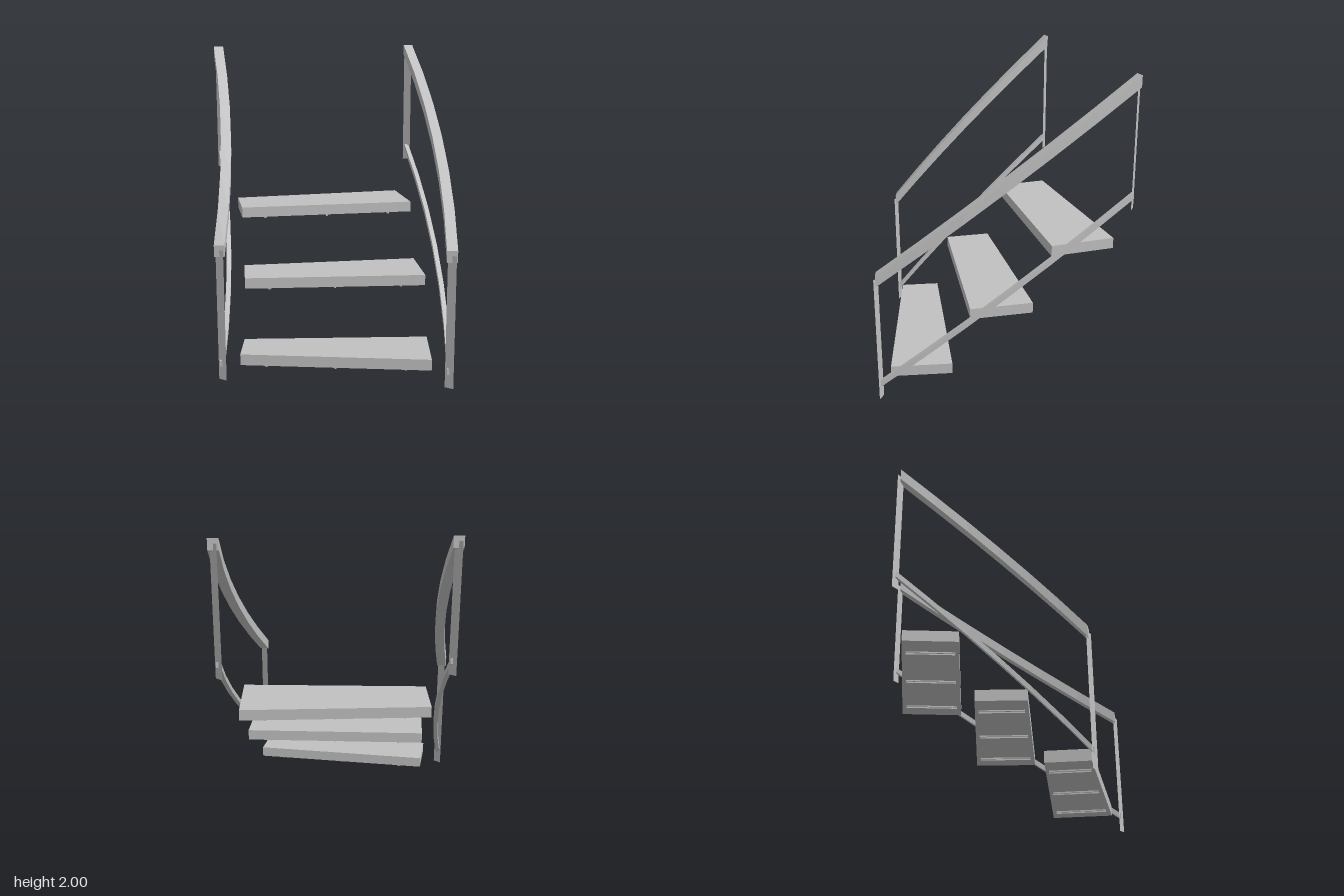
import * as THREE from 'three';

const grey = new THREE.MeshStandardMaterial({ color: 0xc0c0c0, flatShading: true, side: THREE.DoubleSide });
grey.name = 'plain grey';

// Closed solid through four-cornered rings; each ring is counter-clockwise seen from the start
function loft(rings) {
  const pos = [];
  const quad = (a, b, c, d) => [a, b, c, a, c, d].forEach((p) => pos.push(...p));
  quad(...rings[0]);
  for (let i = 0; i + 1 < rings.length; i++) {
    const r = rings[i], s = rings[i + 1];
    for (let k = 0; k < 4; k++) {
      const n = (k + 1) % 4;
      quad(r[k], s[k], s[n], r[n]);
    }
  }
  quad(...[...rings[rings.length - 1]].reverse());
  const geo = new THREE.BufferGeometry();
  geo.setAttribute('position', new THREE.Float32BufferAttribute(pos, 3));
  geo.computeVertexNormals();
  return geo;
}

function add(parent, geo, name) {
  const mesh = new THREE.Mesh(geo, grey);
  mesh.name = name;
  parent.add(mesh);
  return mesh;
}

// Rail rising evenly along a plan curve, with upright end cuts
function railGeometry(curve, width, height, yLow, yHigh) {
  const rings = [];
  const segments = 6;
  for (let i = 0; i <= segments; i++) {
    const t = i / segments;
    const p = curve.getPoint(t), d = curve.getTangent(t);
    const sx = -d.y * width / 2, sz = d.x * width / 2;
    const y = yLow + (yHigh - yLow) * t;
    rings.push([[-1, 0], [1, 0], [1, 1], [-1, 1]].map(([s, u]) =>
      [p.x + s * sx, y + u * height, p.y + s * sz]));
  }
  return loft(rings);
}

// One railing: handrail, lower rail and two flat posts
function railing(name, ...plan) {
  const group = new THREE.Group();
  group.name = name;
  const curve = new THREE.QuadraticBezierCurve(...plan.map(([x, z]) => new THREE.Vector2(x, z)));
  add(group, railGeometry(curve, 0.065, 0.072, 0.788, 1.928), 'handrail');
  add(group, railGeometry(curve, 0.03, 0.038, 0.085, 1.222), 'lowerRail');
  [[0, 0, 0.83, 'bottomPost'], [1, 1.15, 1.97, 'topPost']].forEach(([t, y0, y1, label]) => {
    const p = curve.getPoint(t);
    add(group, new THREE.PlaneGeometry(0.056, y1 - y0), label).position.set(p.x, (y0 + y1) / 2, p.y);
  });
  return group;
}

// Tread corners in plan: back +x, back -x, front -x, front +x
function tread(name, top, corners) {
  const group = new THREE.Group();
  group.name = name;
  const ring = (y) => corners.map(([x, z]) => [x, y, z]);
  const bottom = top - 0.07;
  add(group, loft([ring(top), ring(bottom)]), 'treadBoard');

  // Three cleats across the underside
  const [br, bl, fl, fr] = corners.map(([x, z]) => new THREE.Vector2(x, z));
  [0.135, 0.5, 0.87].forEach((u) => {
    const back = bl.clone().lerp(br, u), front = fl.clone().lerp(fr, u);
    const mid = back.clone().lerp(front, 0.5), d = front.clone().sub(back);
    [[0.03, 0.008, 0.004], [0.012, 0.008, 0.012]].forEach(([w, h, drop]) => {
      const cleat = add(group, new THREE.BoxGeometry(w, h, d.length() * 0.86), 'cleat');
      cleat.position.set(mid.x, bottom - drop, mid.y);
      cleat.rotation.y = Math.atan2(d.x, d.y);
    });
  });
  return group;
}

export function createModel() {
  const model = new THREE.Group();
  model.name = 'curvedStair';
  model.add(
    railing('rightRailing', [-0.325, 0.938], [-0.506, 0.505], [-0.97, -0.003]),
    railing('leftRailing', [0.957, 0.398], [0.625, -0.32], [0.067, -0.937]),
    tread('bottomTread', 0.157, [[0.66, 0.04], [-0.365, 0.635], [-0.24, 0.868], [0.84, 0.39]]),
    tread('middleTread', 0.54, [[0.37, -0.4], [-0.58, 0.305], [-0.405, 0.56], [0.6, -0.063]]),
    tread('topTread', 0.922, [[0.03, -0.82], [-0.857, -0.035], [-0.64, 0.23], [0.3, -0.495]]),
  );
  return model;
}
